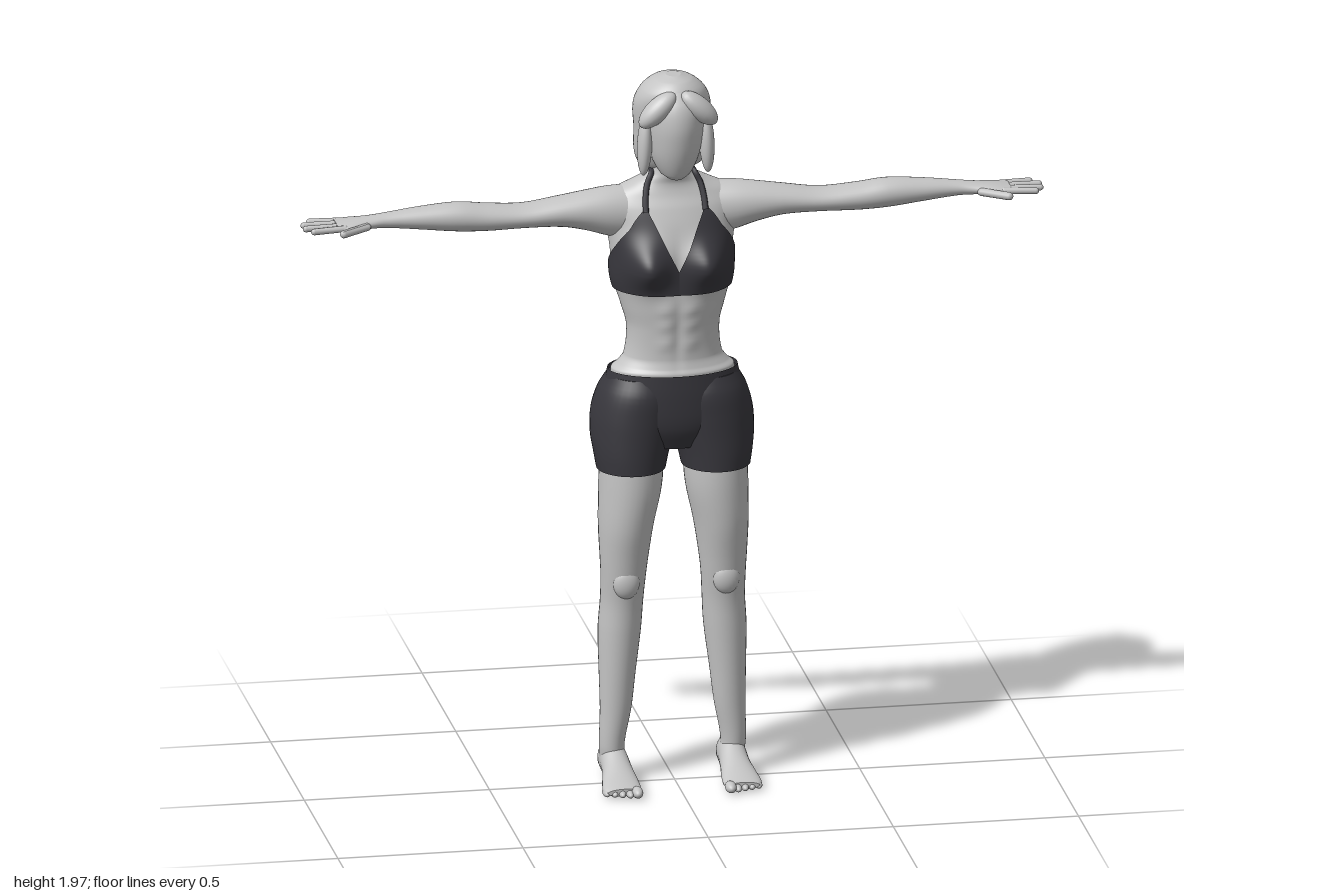
import * as THREE from 'three';

const mat = (name, color, extra = {}) => Object.assign(new THREE.MeshStandardMaterial({ color, ...extra }), { name });

// Smooth interpolation of rows [t, aMin, aMax, bMin, bMax]
function sample(rows, t) {
  let i = 0;
  while (i < rows.length - 2 && t > rows[i + 1][0]) i++;
  const p = rows[i], q = rows[i + 1], o = rows[i - 1] || p, r = rows[i + 2] || q;
  const h = q[0] - p[0], s = THREE.MathUtils.clamp((t - p[0]) / h, 0, 1);
  return p.map((v, k) => {
    const m0 = (q[k] - o[k]) / (q[0] - o[0]) * h, m1 = (r[k] - v) / (r[0] - p[0]) * h;
    return v * (1 + 2 * s) * (1 - s) ** 2 + m0 * s * (1 - s) ** 2 + q[k] * s * s * (3 - 2 * s) + m1 * s * s * (s - 1);
  });
}

// Point on an elliptical section; the section plane faces the given axis
function ringPoint(rows, axis, t, a, off = 0) {
  const [, a0, a1, b0, b1] = sample(rows, t);
  const u = (a0 + a1) / 2 + ((a1 - a0) / 2 + off) * Math.sin(a);
  const w = (b0 + b1) / 2 + ((b1 - b0) / 2 + off) * Math.cos(a);
  if (axis === 'y') return new THREE.Vector3(u, t, w);
  return axis === 'x' ? new THREE.Vector3(t, w, u) : new THREE.Vector3(w, u, t);
}

function indexed(pos, idx) {
  const g = new THREE.BufferGeometry();
  g.setAttribute('position', new THREE.Float32BufferAttribute(pos, 3));
  g.setIndex(idx);
  g.computeVertexNormals();
  return g;
}

// Closed skin through the sections, with capped ends
function loft(rows, axis = 'y', { n = 32, sub = 4, caps = true, point } = {}) {
  const at = point || ((a, t) => ringPoint(rows, axis, t, a));
  const ts = [];
  rows.forEach((r, i) => {
    if (i) for (let k = 1; k <= sub; k++) ts.push(rows[i - 1][0] + (r[0] - rows[i - 1][0]) * k / sub);
    else ts.push(r[0]);
  });
  const pos = [], idx = [];
  const ring = t => { for (let i = 0; i < n; i++) pos.push(...at(i / n * Math.PI * 2, t).toArray()); };
  ts.forEach((t, j) => {
    ring(t);
    for (let i = 0; j && i < n; i++) {
      const a = (j - 1) * n + i, b = (j - 1) * n + (i + 1) % n;
      idx.push(a, b, b + n, a, b + n, a + n);
    }
  });
  if (caps) [ts[0], ts[ts.length - 1]].forEach((t, end) => {
    const s = pos.length / 3, c = new THREE.Vector3();
    ring(t);
    for (let i = 0; i < n; i++) c.add(new THREE.Vector3().fromArray(pos, (s + i) * 3));
    pos.push(...c.divideScalar(n).toArray());
    for (let i = 0; i < n; i++) {
      const a = s + i, b = s + (i + 1) % n;
      idx.push(s + n, end ? a : b, end ? b : a);
    }
  });
  return indexed(pos, idx);
}

function mirrored(geo) {
  const g = geo.clone().scale(-1, 1, 1), ix = g.index.array;
  for (let i = 0; i < ix.length; i += 3) [ix[i], ix[i + 1]] = [ix[i + 1], ix[i]];
  g.computeVertexNormals();
  return g;
}

// Rounded rod between two points
function rod(p, q, r) {
  const a = new THREE.Vector3(...p), b = new THREE.Vector3(...q), d = b.clone().sub(a);
  const g = new THREE.CapsuleGeometry(r, d.length(), 5, 10);
  g.applyQuaternion(new THREE.Quaternion().setFromUnitVectors(new THREE.Vector3(0, 1, 0), d.normalize()));
  return g.translate(...a.add(b).multiplyScalar(0.5).toArray());
}

const ellipsoid = (x, y, z, rx, ry, rz, tilt = 0) =>
  new THREE.SphereGeometry(1, 24, 16).scale(rx, ry, rz).rotateZ(tilt).translate(x, y, z);

// Symmetric rows: [y, half width, back, front]
const sym = rows => rows.map(([y, w, b, f]) => [y, -w, w, b, f]);

const TORSO = sym([
  [1.08, .16, -.13, .06], [1.15, .166, -.133, .068], [1.165, .15, -.125, .062], [1.19, .132, -.118, .057],
  [1.27, .125, -.115, .06], [1.33, .14, -.13, .065], [1.40, .16, -.15, .062], [1.48, .165, -.16, .055],
  [1.55, .175, -.16, .04], [1.60, .185, -.15, .022], [1.635, .16, -.135, .005], [1.665, .10, -.12, -.002],
  [1.69, .058, -.10, .005], [1.73, .05, -.095, .01], [1.78, .05, -.09, .015]]);

// Torso surface with bust, belly and spine relief
function body(a, y, off = 0) {
  const p = ringPoint(TORSO, 'y', y, a, off), c = Math.cos(a), x = Math.abs(p.x);
  const bump = (dx, sx, cy, sy) => Math.exp(-(((x - dx) / sx) ** 2) - ((y - cy) / sy) ** 2);
  if (c > 0) {
    const w = Math.min(1, 2 * c);
    p.z += w * (.052 * bump(.085, .055, 1.455, .06) - .005 * bump(0, .014, 1.26, .09));
    [1.235, 1.285, 1.33].forEach(cy => { p.z += w * .004 * bump(.035, .022, cy, .018); });
  } else p.z += Math.min(1, -2 * c) * (.016 * bump(0, .025, 1.4, .2) - .007 * bump(.085, .04, 1.53, .07));
  return p;
}

const ARM = [
  [.10, -.13, 0, 1.50, 1.65], [.17, -.12, .005, 1.515, 1.65], [.23, -.11, .005, 1.535, 1.643],
  [.30, -.105, .003, 1.55, 1.632], [.40, -.10, 0, 1.553, 1.618], [.50, -.093, .002, 1.552, 1.625],
  [.58, -.085, .003, 1.556, 1.635], [.68, -.078, -.005, 1.567, 1.628], [.77, -.066, -.012, 1.577, 1.618],
  [.82, -.068, -.005, 1.579, 1.612], [.87, -.08, .01, 1.581, 1.607], [.91, -.08, .01, 1.584, 1.602]];

const LEG = [
  [.05, .125, .195, -.085, 0], [.10, .13, .198, -.07, .005], [.20, .112, .196, -.07, .012],
  [.30, .10, .198, -.085, .018], [.42, .085, .20, -.10, .025], [.50, .08, .195, -.095, .03],
  [.57, .075, .195, -.085, .042], [.63, .068, .198, -.09, .052], [.72, .054, .202, -.108, .068],
  [.82, .033, .201, -.113, .074], [.92, .025, .20, -.11, .07]];

const FOOT = [
  [-.118, .02, .045, .145, .175], [-.105, .006, .065, .132, .188], [-.07, 0, .10, .125, .195],
  [-.02, 0, .10, .122, .197], [.03, 0, .075, .118, .20], [.08, 0, .05, .112, .21],
  [.12, 0, .034, .111, .214], [.14, .006, .026, .116, .205]];

const SHORT_LEG = [
  [.877, .022, .207, -.118, .079], [.92, .012, .214, -.13, .08], [.97, -.005, .22, -.16, .08],
  [1.03, -.02, .217, -.174, .08], [1.09, -.025, .20, -.163, .077], [1.135, -.01, .175, -.135, .06]];

const PELVIS = sym([[.94, .10, -.08, .05], [1.0, .17, -.12, .075], [1.08, .187, -.146, .08], [1.15, .175, -.142, .077]]);

const FACE = sym([
  [1.69, .022, -.02, .045], [1.705, .042, -.05, .06], [1.75, .064, -.08, .08], [1.80, .073, -.09, .092],
  [1.85, .078, -.10, .096], [1.90, .078, -.10, .085], [1.94, .06, -.08, .055]]);

const HAIR = sym([
  [1.695, .06, -.095, -.03], [1.71, .085, -.118, -.012], [1.75, .099, -.132, .008], [1.81, .10, -.139, .032],
  [1.88, .104, -.139, .05], [1.925, .088, -.125, .062], [1.955, .055, -.092, .04], [1.968, .02, -.045, .005]]);

// Bra edges as [height, inner angle, outer angle]
const BRA = [
  [1.375, 0, Math.PI], [1.397, 0, Math.PI], [1.41, 0, 2.2], [1.44, 0, 1.65], [1.50, .17, 1.15], [1.55, .29, .76], [1.60, .40, .48]];

function braHalf() {
  const pos = [], idx = [], n = 48, sub = 6, rows = (BRA.length - 1) * sub;
  for (let j = 0; j <= rows; j++) {
    const k = Math.min(BRA.length - 2, Math.floor(j / sub)), f = j / sub - k;
    const [y, a0, a1] = BRA[k].map((v, m) => v + (BRA[k + 1][m] - v) * f);
    for (let i = 0; i <= n; i++) {
      pos.push(...body(a0 + (a1 - a0) * i / n, y, .007).toArray());
      if (i < n && j < rows) {
        const a = j * (n + 1) + i, b = a + n + 1;
        idx.push(a, a + 1, b + 1, a, b + 1, b);
      }
    }
  }
  return indexed(pos, idx);
}

export function createModel() {
  const model = new THREE.Group();
  model.name = 'woman';
  const skin = mat('skin grey', 0xc4c4c4);
  const cloth = mat('dark cloth', 0x38373d, { side: THREE.DoubleSide });
  const add = (name, geo, m = skin) => {
    const mesh = new THREE.Mesh(geo, m);
    mesh.name = name;
    model.add(mesh);
  };
  const pair = (name, geo, m = skin) => {
    add(name + 'Left', geo, m);
    add(name + 'Right', mirrored(geo), m);
  };

  // Torso and head
  add('torso', loft(TORSO, 'y', { n: 96, sub: 6, point: body }));
  add('face', loft(FACE));
  add('hair', loft(HAIR, 'y', { n: 40 }));
  pair('fringe', ellipsoid(.056, 1.893, .056, .064, .03, .034, -.75));
  pair('sideLock', ellipsoid(.084, 1.785, .018, .02, .085, .028, .04));

  // Arms and hands
  pair('arm', loft(ARM, 'x'));
  [[-.067, -.078, .972], [-.045, -.05, .992], [-.021, -.02, .991], [.001, .008, .974]].forEach(([z0, z1, tip], i) =>
    pair('finger' + (i + 1), rod([.89, 1.593, z0], [tip, 1.591, z1], .009)));
  pair('thumb', rod([.83, 1.592, -.005], [.898, 1.588, .032], .011));

  // Legs and feet
  pair('leg', loft(LEG));
  pair('kneecap', ellipsoid(.135, .565, .026, .036, .045, .024));
  pair('foot', loft(FOOT, 'z'));
  for (let i = 0; i < 5; i++) {
    const r = i ? .0105 : .015;
    pair('toe' + (i + 1), ellipsoid(.126 + .0197 * i, r + .001, .142 - .007 * i, r, r, .028));
  }

  // Shorts
  add('shortsWaist', loft(PELVIS, 'y', { n: 48, caps: false }), cloth);
  pair('shortsLeg', loft(SHORT_LEG, 'y', { n: 40 }), cloth);

  // Bra with halter strap
  pair('bra', braHalf(), cloth);
  const strap = [[.44, 1.595], [.48, 1.63], [.75, 1.665], [1.2, 1.69], [2.2, 1.70], [Math.PI, 1.70]]
    .map(([a, y]) => body(a, y, .004));
  pair('halterStrap', new THREE.TubeGeometry(new THREE.CatmullRomCurve3(strap), 40, .008, 8), cloth);
  return model;
}
